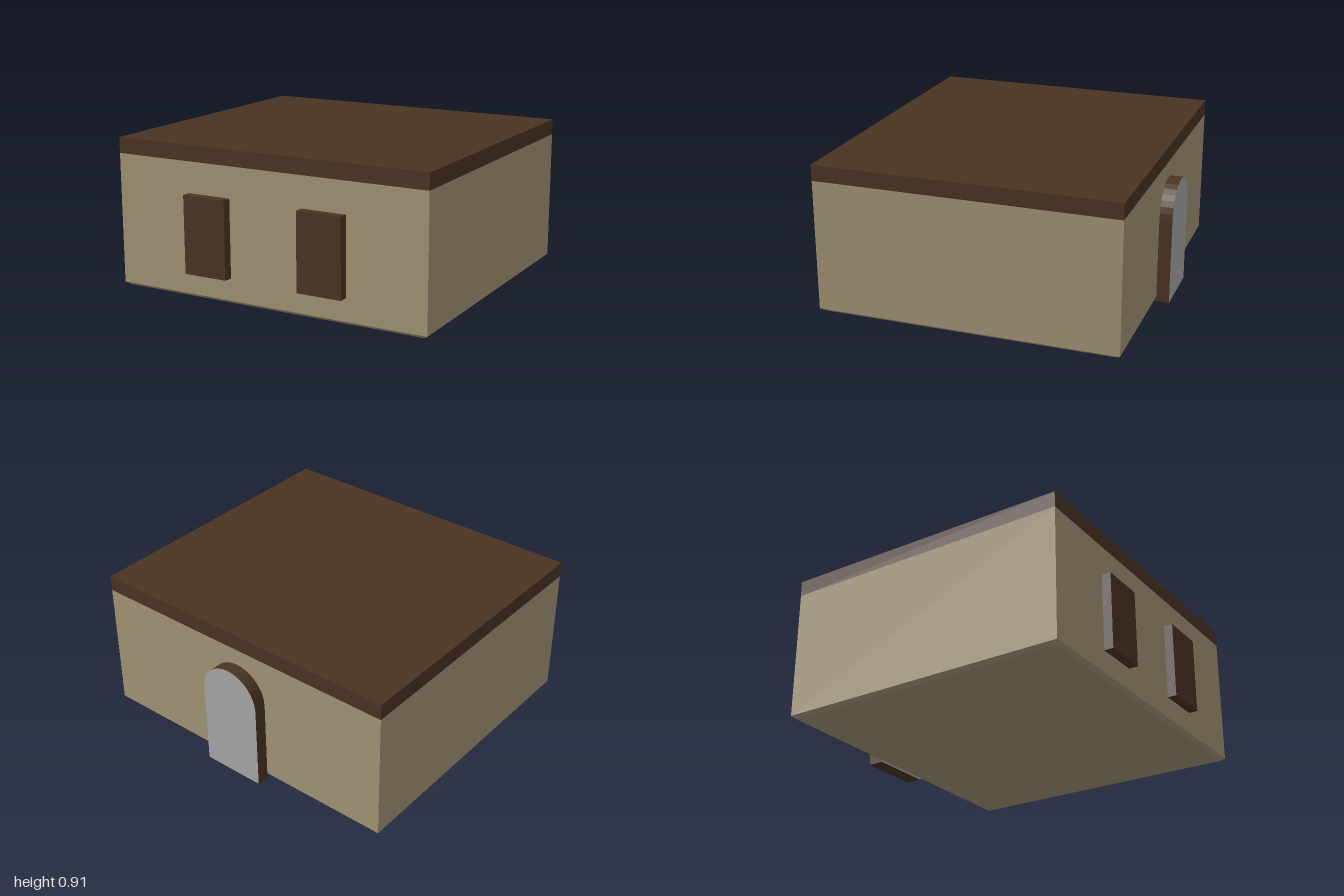
import * as THREE from 'three';

function material(name, color) {
  const m = new THREE.MeshStandardMaterial({ color });
  m.name = name;
  return m;
}

export function createModel() {
  const plaster = material('plaster', 0xa39575);
  const wood = material('darkWood', 0x4b3423);
  const grey = material('doorGrey', 0xa8a8a8);

  const group = new THREE.Group();
  group.name = 'house';
  const add = (name, geometry, mat, x = 0, y = 0, z = 0) => {
    const mesh = new THREE.Mesh(geometry, mat);
    mesh.name = name;
    mesh.position.set(x, y, z);
    group.add(mesh);
    return mesh;
  };

  const width = 2, depth = 1.8, midZ = 0.01;
  const bottom = 0.01, chamferTop = 0.03, eave = 0.815, top = 0.91;

  // Walls: a box whose lowest row of corners is pulled in to make a chamfer
  let walls = new THREE.BoxGeometry(width, 2, depth, 1, 2, 1);
  const rows = { '-1': bottom, '0': chamferTop, '1': eave };
  const p = walls.attributes.position;
  for (let i = 0; i < p.count; i++) {
    const row = Math.round(p.getY(i));
    const inset = row === -1 ? 0.025 : 0;
    p.setXYZ(i,
      p.getX(i) - Math.sign(p.getX(i)) * inset,
      rows[row],
      p.getZ(i) - Math.sign(p.getZ(i)) * inset);
  }
  walls = walls.toNonIndexed();
  walls.computeVertexNormals();
  add('walls', walls, plaster, 0, 0, midZ);

  // Flat roof slab, flush with the walls
  add('roof', new THREE.BoxGeometry(width, top - eave, depth), wood, 0, (top + eave) / 2, midZ);

  // Two shutters on the front wall
  for (const side of [-1, 1]) {
    add(side < 0 ? 'rightShutter' : 'leftShutter',
      new THREE.BoxGeometry(0.277, 0.465, 0.1), wood, side * 0.373, 0.397, 0.915);
  }

  // Arched back door: grey panel with dark wooden edges
  const r = 0.195, spring = 0.52;
  const arch = new THREE.Shape();
  arch.moveTo(-r, 0);
  arch.lineTo(r, 0);
  arch.lineTo(r, spring);
  arch.absarc(0, spring, r, 0, Math.PI, false);
  arch.closePath();
  const door = new THREE.ExtrudeGeometry(arch, { depth: 0.1, bevelEnabled: false, curveSegments: 8 });
  add('archedDoor', door, [grey, wood], 0, 0, -0.967);

  return group;
}
